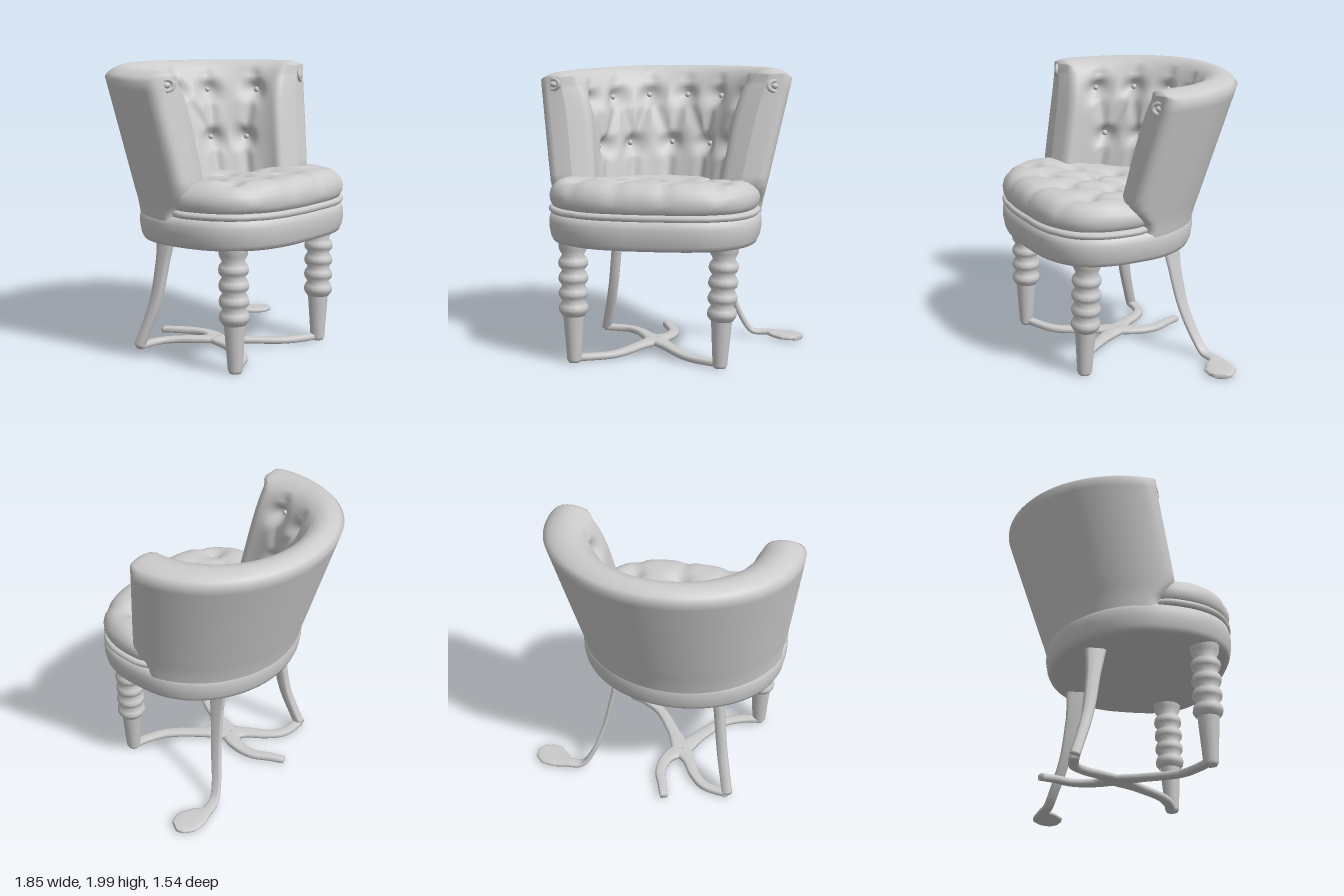
import * as THREE from 'three';

const { lerp, smoothstep, clamp, degToRad } = THREE.MathUtils;
const material = new THREE.MeshStandardMaterial({ color: 0xcccccc });

// Smooth surface from a grid of points; i runs around, j runs along.
function gridSurface(ni, nj, point, wrap = false) {
  const pos = [], index = [], cols = wrap ? ni : ni + 1;
  for (let j = 0; j <= nj; j++)
    for (let i = 0; i < cols; i++) pos.push(...point(i, j));
  for (let j = 0; j < nj; j++)
    for (let i = 0; i < ni; i++) {
      const k = (i + 1) % cols, a = j * cols + i, b = j * cols + k;
      index.push(a, b, b + cols, a, b + cols, a + cols);
    }
  const g = new THREE.BufferGeometry();
  g.setAttribute('position', new THREE.Float32BufferAttribute(pos, 3));
  g.setIndex(index);
  g.computeVertexNormals();
  return g;
}

function part(parent, name, geometry) {
  const mesh = new THREE.Mesh(geometry, material);
  mesh.name = name;
  parent.add(mesh);
  return mesh;
}

// Creases join each button to its diagonal neighbours.
function diagonalCreases(buttons, reach) {
  const out = [];
  buttons.forEach((p, i) => buttons.slice(i + 1).forEach((q) => {
    if (Math.abs(p[1] - q[1]) > 0.1 && Math.hypot(p[0] - q[0], p[1] - q[1]) < reach) out.push([p, q]);
  }));
  return out;
}

// Depth 0..1 of deep buttoning at (u, v).
function tuft(u, v, buttons, creases) {
  let d = 0;
  for (const [x, y] of buttons) d = Math.max(d, Math.exp(-((u - x) ** 2 + (v - y) ** 2) / 0.005));
  for (const [[x, y], [X, Y]] of creases) {
    const dx = X - x, dy = Y - y;
    const t = clamp(((u - x) * dx + (v - y) * dy) / (dx * dx + dy * dy), 0, 1);
    d = Math.max(d, 0.28 * Math.exp(-((u - x - t * dx) ** 2 + (v - y - t * dy) ** 2) / 0.002));
  }
  return d;
}

// Seat plan: squarer at the front corners, round at the back.
function seatOutline(a) {
  const c = Math.cos(a), s = -Math.sin(a), e = s < 0 ? 2 : c > 0 ? 3.1 : 2.65;
  const r = (Math.abs(c) ** e + Math.abs(s) ** e) ** (-1 / e);
  return [0.73 * c * r, (s > 0 ? 0.62 : 0.63) * s * r];
}

function seatRings(rings, cushion) {
  const row = (z, xs) => xs.map((x) => [x, z]);
  const front = row(0.46, [-0.57, -0.27, 0.05, 0.39]);
  const buttons = [...front, ...row(0.19, [-0.42, -0.13, 0.2, 0.52]), ...row(-0.07, [-0.27, 0.06, 0.36])];
  const creases = [...diagonalCreases(buttons, 0.36), ...front.map((p) => [p, [p[0] * 1.05, 0.9]])];
  return gridSurface(112, rings.length - 1, (i, j) => {
    const a = (i / 112) * Math.PI * 2, [ox, oz] = seatOutline(a);
    let [k, y] = rings[j];
    if (cushion) {
      const z = 0.15 + oz * k, d = tuft(-0.08 + ox * k, z, buttons, creases);
      k *= lerp(0.9, 1, smoothstep(oz, -0.15, 0.1)) * (1 - 0.025 * d);
      // The top dips at the buttons and falls towards the back
      if (y > 1.13) y -= 0.06 * d + 0.06 * smoothstep(0.45 - z, 0, 0.65) * smoothstep(y, 1.13, 1.25);
    }
    return [-0.08 + ox * k, y, 0.15 + oz * k];
  }, true);
}

// Point on the wrap-around back: angle a, height h 0..1, s 0 outside to 1 inside.
function backPoint(a, h, s, roll = 1) {
  const low = Math.min(1, h * 7), rise = Math.max(0, h - 0.12) / 0.88, flare = 0.07 * h ** 8;
  const rx = lerp(lerp(0.725, 0.735, low) + 0.145 * rise, 0.41 + 0.11 * h + flare, s);
  const rz = lerp(lerp(0.645, 0.662, low) + 0.143 * rise, 0.37 + 0.14 * h + flare, s);
  const crown = h >= 1 ? 0.065 * roll * Math.sin(Math.PI * clamp(s, 0, 1)) ** 0.7 : 0;
  const dip = 0.03 * h * Math.max(0, -Math.cos(a)) ** 2;
  return [lerp(-0.08, -0.04, h) + rx * Math.cos(a), 0.98 + 0.95 * h + crown - dip,
    lerp(0.17, 0.03, h) - rz * Math.sin(a)];
}

function buildBack(group) {
  const R = 0.5, rad = (deg) => degToRad(deg) * R;
  const upper = [-74, -46, -18, 9, 36, 72].map((d) => [rad(d), 1.78]);
  const lower = [-62, -32, 1, 33, 62].map((d) => [rad(d), 1.44]);
  const buttons = [...upper, ...lower];
  const creases = [...diagonalCreases(buttons, 0.4),
    ...upper.map((p) => [p, [p[0], 2.1]]), ...lower.map((p) => [p, [p[0], 1.1]])];
  const outer = 16, rim = 9, inner = 34, cols = 130;
  part(group, 'backrest', gridSurface(cols, outer + rim + inner, (i, j) => {
    let h = 1, s = 0;
    if (j <= outer) h = j / outer;
    else if (j <= outer + rim) s = (j - outer) / rim;
    else { s = 1; h = 1 - 0.85 * (j - outer - rim) / inner; }
    // Arm fronts tuck under where they meet the cushion
    const over = degToRad(lerp(15, 8, h) - 14 * (1 - smoothstep(h, 0.06, 0.26)));
    const a = lerp(-over, Math.PI + over, i / cols);
    if (j >= outer + rim) {
      const d = tuft((Math.PI / 2 - a) * R, 0.98 + 0.95 * h, buttons, creases);
      s -= 0.28 * d * (j === outer + rim ? 0.4 : 1);
    }
    // Rounded noses at the arm fronts
    const e = Math.max(0, 1 - Math.min(i, cols - i) / 8), nose = Math.sqrt(1 - e ** 4);
    return backPoint(a, h, 0.5 + (s - 0.5) * nose, 0.4 + 0.6 * nose);
  }));
  for (const [u, y] of buttons) {
    const b = part(group, 'backButton', new THREE.SphereGeometry(0.02, 10, 8));
    b.position.set(...backPoint(Math.PI / 2 - u / R, (y - 0.98) / 0.95, 0.73));
  }
  // Small rosettes on the arm fronts
  for (const x of [-0.81, 0.73]) {
    const rosette = new THREE.Group();
    rosette.name = 'armRosette';
    part(rosette, 'rosetteRing', new THREE.TorusGeometry(0.045, 0.016, 8, 16));
    part(rosette, 'rosetteCentre', new THREE.SphereGeometry(0.025, 10, 8));
    rosette.scale.set(1.1, 0.8, 0.8);
    rosette.position.set(x, 1.88, 0.125);
    rosette.rotation.set(-0.1, Math.sign(x) * 0.5, 0);
    group.add(rosette);
  }
}

// Flat bar along points [x, y, z, width]; side fixes the width direction.
function bar(points, thick, side) {
  const curve = new THREE.CatmullRomCurve3(points.map((p) => new THREE.Vector3(p[0], p[1], p[2])));
  const n = points.length - 1, steps = n * 7, up = new THREE.Vector3(0, 1, 0);
  return gridSurface(12, steps + 2, (i, j) => {
    const t = clamp((j - 1) / steps, 0, 1), k = Math.min(n - 1, Math.floor(t * n));
    const P = curve.getPoint(t), T = curve.getTangent(t);
    const S = side ? side.clone().addScaledVector(T, -T.dot(side)).normalize() : T.clone().cross(up).normalize();
    const N = T.clone().cross(S);
    const cap = j === 0 || j === steps + 2 ? 0 : 0.5;
    const w = lerp(points[k][3], points[k + 1][3], t * n - k) * cap, a = (i / 12) * Math.PI * 2;
    const round = (v) => Math.sign(v) * Math.abs(v) ** 0.6;
    return P.addScaledVector(S, w * round(Math.cos(a))).addScaledVector(N, thick * cap * round(Math.sin(a))).toArray();
  }, true);
}

export function createModel() {
  const chair = new THREE.Group();
  chair.name = 'tuftedTubChair';

  // Seat base, piping and buttoned cushion
  part(chair, 'seatBase', seatRings([[0, 0.835], [0.6, 0.835], [0.92, 0.83], [0.965, 0.84], [0.985, 0.87],
    [1, 0.93], [1, 0.98], [0.985, 1.02], [0.94, 1.035]], false));
  part(chair, 'seatPiping', seatRings([[0.95, 1.03], [0.985, 1.032], [1, 1.045], [1, 1.06], [0.985, 1.072], [0.95, 1.075]], true));
  const cushion = [[0.94, 1.07], [0.97, 1.08], [0.99, 1.11], [0.995, 1.15], [0.98, 1.19], [0.945, 1.225], [0.9, 1.25], [0.85, 1.264]];
  for (let k = 0.8; k > -0.01; k -= 0.05) cushion.push([Math.max(0, k), 1.26 + 0.01 * smoothstep(k, 0.4, 0.75)]);
  part(chair, 'seatCushion', seatRings(cushion, true));

  buildBack(chair);

  // Turned front legs with four beads
  const profile = [[0, 0], [0.04, 0], [0.05, 0.02], [0.072, 0.33]];
  for (const y of [0.375, 0.48, 0.585, 0.69])
    profile.push([0.076, y - 0.05], [0.098, y - 0.02], [0.102, y], [0.096, y + 0.025]);
  profile.push([0.074, 0.745], [0.095, 0.785], [0.1, 0.84]);
  for (const [x, lean] of [[-0.595, 0.005], [0.405, -0.03]]) {
    const leg = part(chair, 'frontLeg', new THREE.LatheGeometry(profile.map((p) => new THREE.Vector2(...p)), 14));
    leg.position.set(x, 0.01, 0.512);
    leg.rotation.set(-0.02, 0, lean);
  }

  // Swept back legs; one ends in a leaf-shaped foot
  const side = new THREE.Vector3(0, 0, 1);
  part(chair, 'rightBackLeg', bar([[-0.42, 0.86, -0.205, 0.15], [-0.44, 0.65, -0.225, 0.1], [-0.475, 0.36, -0.265, 0.08],
    [-0.52, 0.14, -0.325, 0.07], [-0.545, 0.03, -0.36, 0.07]], 0.07, side));
  part(chair, 'leftBackLeg', bar([[0.31, 0.86, -0.205, 0.15], [0.345, 0.65, -0.225, 0.1], [0.41, 0.36, -0.265, 0.08],
    [0.49, 0.14, -0.325, 0.07], [0.56, 0.045, -0.355, 0.07], [0.67, 0.035, -0.37, 0.08], [0.74, 0.03, -0.35, 0.17],
    [0.82, 0.028, -0.32, 0.22], [0.88, 0.026, -0.29, 0.17], [0.91, 0.025, -0.27, 0.09]], 0.035, side));

  // Curved floor stretcher meeting near the middle
  const stretcher = new THREE.Group();
  stretcher.name = 'stretcher';
  chair.add(stretcher);
  const hub = [-0.11, 0.042, -0.01, 0.15];
  const arms = [
    [[-0.6, 0.035, 0.5, 0.07], [-0.48, 0.035, 0.46, 0.07], [-0.34, 0.035, 0.38, 0.075], [-0.2, 0.04, 0.16, 0.09], hub],
    [[0.4, 0.035, 0.5, 0.07], [0.3, 0.035, 0.46, 0.07], [0.17, 0.035, 0.38, 0.075], [0.0, 0.04, 0.16, 0.09], hub],
    [hub, [-0.19, 0.04, -0.11, 0.09], [-0.27, 0.035, -0.24, 0.075], [-0.37, 0.03, -0.33, 0.07], [-0.55, 0.03, -0.36, 0.07]],
    [hub, [-0.03, 0.04, -0.13, 0.09], [-0.02, 0.035, -0.28, 0.075], [-0.07, 0.035, -0.41, 0.065], [-0.11, 0.03, -0.51, 0.06]],
  ];
  for (const arm of arms) part(stretcher, 'stretcherArm', bar(arm, 0.045));

  return chair;
}
